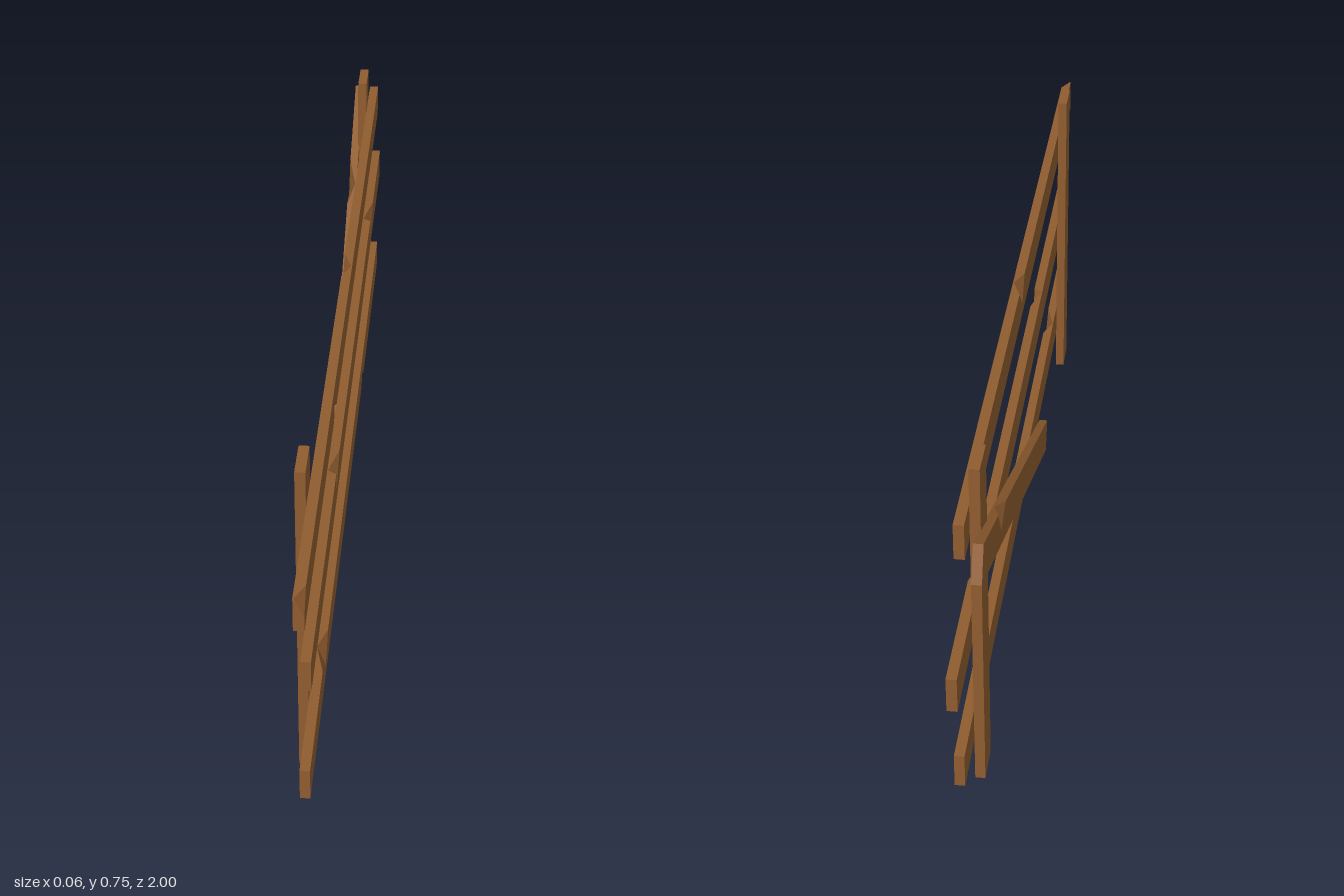
import * as THREE from 'three';

const wood = new THREE.MeshStandardMaterial({ color: 0x8f5c2f, flatShading: true });

// Corners of the cross-section, counter-clockwise seen from +z
const CORNERS = [[1, 1], [-1, 1], [-1, -1], [1, -1]];

// Plank along z. Each chip: { z, from, to, corner, depth, inset }, cutting one long edge.
function plank(name, thick, high, zMin, zMax, chips = []) {
  const ring = (z, chip) => CORNERS.flatMap(([sx, sy], i) => {
    const cut = chip && chip.corner === i;
    const x = sx * thick / 2, y = sy * high / 2;
    const onSide = new THREE.Vector3(x, y - sy * (cut ? chip.depth : 0), z);
    const onEdge = new THREE.Vector3(x - sx * (cut ? chip.inset ?? 0.018 : 0), y, z);
    return i % 2 ? [onEdge, onSide] : [onSide, onEdge];
  });
  const stations = [[zMin], [zMax]];
  for (const c of chips) {
    if (c.z >= zMax) {
      stations[1] = [zMax, c];
      stations.push([c.from]);
    } else stations.push([c.from], [c.z, c], [c.to]);
  }
  stations.sort((a, b) => a[0] - b[0]);
  const rings = stations.map(([z, c]) => ring(z, c));

  const pos = [];
  const tri = (a, b, c) => {
    const area = b.clone().sub(a).cross(c.clone().sub(a)).length();
    if (area > 1e-9) for (const p of [a, b, c]) pos.push(p.x, p.y, p.z);
  };
  for (let k = 0; k < rings.length - 1; k++) {
    const a = rings[k], b = rings[k + 1];
    for (let i = 0; i < 8; i++) {
      const j = (i + 1) % 8;
      tri(a[i], a[j], b[j]);
      tri(a[i], b[j], b[i]);
    }
  }
  // End caps
  const first = rings[0], last = rings[rings.length - 1];
  for (let i = 1; i < 7; i++) {
    tri(last[0], last[i], last[i + 1]);
    tri(first[0], first[i + 1], first[i]);
  }
  const geo = new THREE.BufferGeometry();
  geo.setAttribute('position', new THREE.Float32BufferAttribute(pos, 3));
  geo.computeVertexNormals();
  const mesh = new THREE.Mesh(geo, wood);
  mesh.name = name;
  return mesh;
}

export function createModel() {
  const fence = new THREE.Group();
  fence.name = 'fence';

  // Upright posts
  for (const [name, z, h] of [['frontPost', 0.727, 0.75], ['backPost', -0.78, 0.745]]) {
    const post = new THREE.Mesh(new THREE.BoxGeometry(0.02, h, 0.077), wood);
    post.name = name;
    post.position.set(-0.002, h / 2, z);
    fence.add(post);
  }

  // Three chipped rails on the +x side of the posts
  const rails = [
    ['topRail', 0.631, -0.88, 1, [
      { z: 1, from: 0.965, corner: 0, depth: 0.042 },
      { z: 0.39, from: 0.35, to: 0.41, corner: 3, depth: 0.055 },
      { z: -0.04, from: -0.09, to: 0, corner: 1, depth: 0.05 },
    ]],
    ['middleRail', 0.383, -1, 0.9, [
      { z: 0.35, from: 0.28, to: 0.36, corner: 0, depth: 0.045 },
      { z: -0.65, from: -0.73, to: -0.64, corner: 0, depth: 0.062 },
    ]],
    ['bottomRail', 0.138, -0.94, 0.94, [
      { z: 0.61, from: 0.56, to: 0.68, corner: 0, depth: 0.05 },
      { z: -0.41, from: -0.44, to: -0.37, corner: 3, depth: 0.045 },
    ]],
  ];
  for (const [name, y, z0, z1, chips] of rails) {
    const rail = plank(name, 0.02, 0.075, z0, z1, chips);
    rail.position.set(0.018, y, 0);
    fence.add(rail);
  }

  // Loose diagonal brace leaning behind the posts
  const low = new THREE.Vector3(-0.003, 0.062, 0.272);
  const high = new THREE.Vector3(-0.021, 0.622, -0.925);
  const half = low.distanceTo(high) / 2;
  const brace = plank('diagonalBrace', 0.019, 0.073, -half, half, [
    { z: -0.36, from: -0.43, to: -0.3, corner: 1, depth: 0.045, inset: 0.016 },
  ]);
  brace.position.copy(low).add(high).multiplyScalar(0.5);
  brace.lookAt(low);
  fence.add(brace);

  return fence;
}
